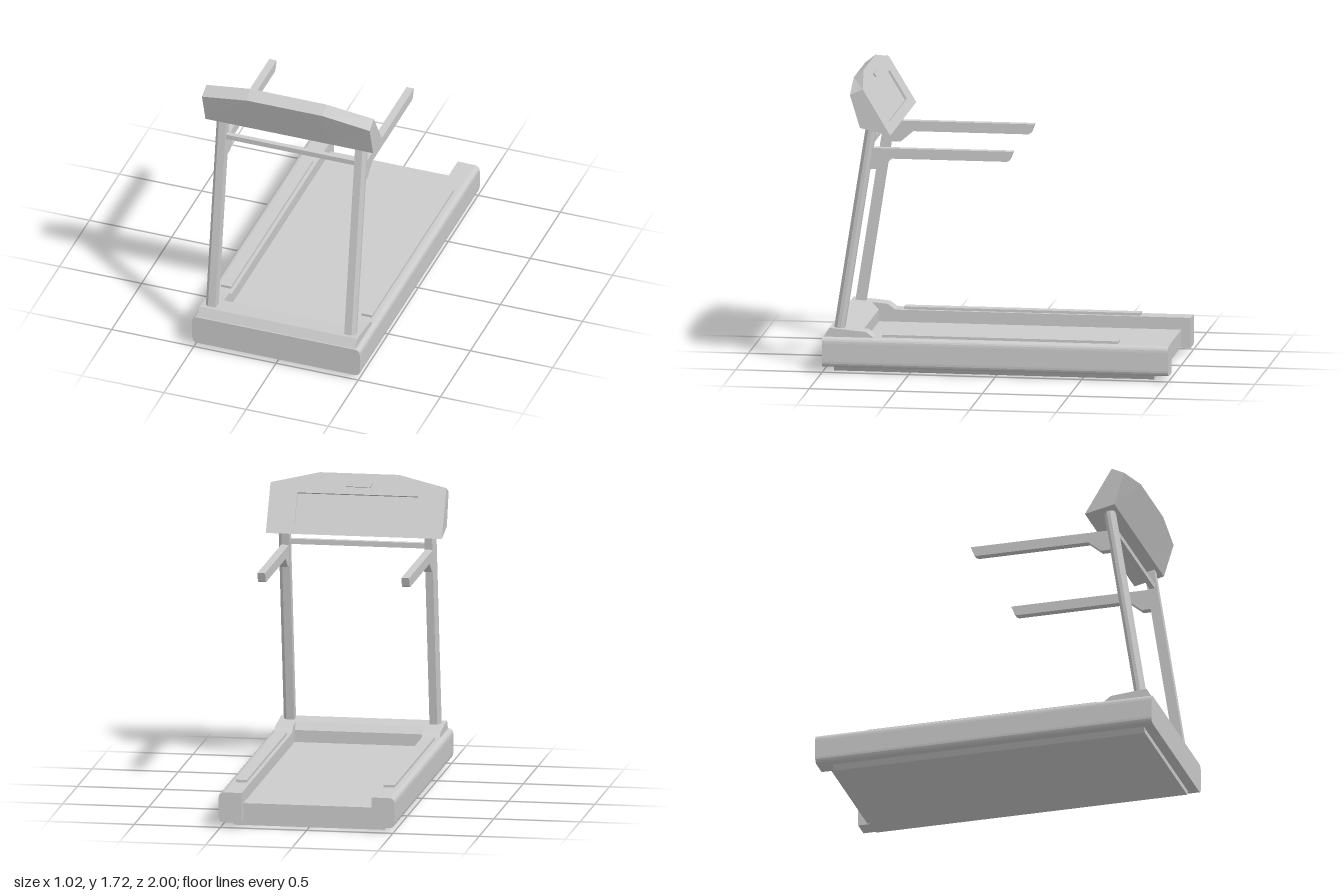
import * as THREE from 'three';

const grey = new THREE.MeshStandardMaterial({ color: 0xcccccc, flatShading: true, side: THREE.DoubleSide });

function add(parent, name, geometry) {
  const mesh = new THREE.Mesh(geometry, grey);
  mesh.name = name;
  parent.add(mesh);
  return mesh;
}

const polygon = (pts) => new THREE.Shape(pts.map(([a, b]) => new THREE.Vector2(a, b)));
const extrude = (shape, depth) =>
  new THREE.ExtrudeGeometry(shape, { depth, bevelEnabled: false, curveSegments: 5 });

// Box given by its limits
function block(x0, x1, y0, y1, z0, z1) {
  return new THREE.BoxGeometry(x1 - x0, y1 - y0, z1 - z0)
    .translate((x0 + x1) / 2, (y0 + y1) / 2, (z0 + z1) / 2);
}

// Side profile of (z, y) points, extruded from x0 to x1
function sideProfile(pts, x0, x1) {
  return extrude(polygon(pts), x1 - x0).rotateY(-Math.PI / 2).translate(x1, 0, 0);
}

// Rectangle outline, used for openings
const rect = (x0, x1, y0, y1) => [[x0, y0], [x1, y0], [x1, y1], [x0, y1]];

// Console shell lofted across x; its rear stays open for the panel
function consoleShell() {
  const end = [[0.605, 1.39], [0.78, 1.43], [0.838, 1.62], [0.764, 1.655]];
  const mid = [[0.605, 1.39], [0.78, 1.43], [0.857, 1.67], [0.80, 1.715]];
  const sections = [[-0.51, end], [-0.23, mid], [0.23, mid], [0.51, end]]
    .map(([x, pts]) => pts.map(([z, y]) => [x, y, z]));
  const pos = [];
  const quad = (a, b, c, d) => pos.push(...a, ...b, ...c, ...a, ...c, ...d);
  for (let i = 0; i < 3; i++) {
    const a = sections[i], b = sections[i + 1];
    for (let k = 0; k < 3; k++) quad(a[k], b[k], b[k + 1], a[k + 1]);
  }
  quad(...sections[0]);
  quad(...[...sections[3]].reverse());
  const g = new THREE.BufferGeometry();
  g.setAttribute('position', new THREE.Float32BufferAttribute(pos, 3));
  g.computeVertexNormals();
  return g;
}

function createBase(model) {
  const base = new THREE.Group();
  base.name = 'base';
  model.add(base);
  const W = 0.51, R = 0.035, B = 0.03, T = 0.205, IN = 0.376;

  // Front cover with rounded corners
  const cover = new THREE.Shape();
  cover.moveTo(-W + R, B);
  cover.lineTo(W - R, B);
  cover.quadraticCurveTo(W, B, W, B + R);
  cover.lineTo(W, T - R);
  cover.quadraticCurveTo(W, T, W - R, T);
  cover.lineTo(-W + R, T);
  cover.quadraticCurveTo(-W, T, -W, T - R);
  cover.lineTo(-W, B + R);
  cover.quadraticCurveTo(-W, B, -W + R, B);
  add(base, 'frontCover', extrude(cover, 0.2).translate(0, 0, 0.8));

  // Side rails, rounded on the outside only
  for (const s of [1, -1]) {
    const rail = new THREE.Shape();
    rail.moveTo(s * IN, B);
    rail.lineTo(s * (W - R), B);
    rail.quadraticCurveTo(s * W, B, s * W, B + R);
    rail.lineTo(s * W, T - R);
    rail.quadraticCurveTo(s * W, T, s * (W - R), T);
    rail.lineTo(s * IN, T);
    const side = s > 0 ? 'left' : 'right';
    add(base, side + 'Rail', extrude(rail, 1.8).translate(0, 0, -1));
    const [x0, x1] = [s * 0.397, s * 0.46].sort((a, b) => a - b);
    add(base, side + 'FootStrip', block(x0, x1, 0.2, 0.22, -0.705, 0.66));
    // Hood arm around the foot of the post
    const [h0, h1] = [s * IN, s * 0.48].sort((a, b) => a - b);
    add(base, side + 'HoodArm',
      sideProfile([[0.995, 0.2], [0.962, 0.256], [0.75, 0.237], [0.70, 0.2]], h0, h1));
  }
  add(base, 'hood',
    sideProfile([[0.995, 0.2], [0.962, 0.256], [0.84, 0.245], [0.80, 0.2]], -IN, IN));

  // Running deck and bottom plate
  add(base, 'runningDeck', block(-IN, IN, 0.035, 0.135, -0.945, 0.82));
  add(base, 'bottomPlate',
    extrude(polygon([[-0.435, 0], [0.435, 0], [0.46, 0.035], [-0.46, 0.035]]), 1.85).translate(0, 0, -0.91));
}

function createFrame(model) {
  const frame = new THREE.Group();
  frame.name = 'frame';
  model.add(frame);
  for (const s of [1, -1]) {
    const side = s > 0 ? 'left' : 'right';
    // Leaning post with chamfered outer corners
    const section = [[0.392, -0.03], [0.437, -0.03], [0.456, -0.01], [0.456, 0.01], [0.437, 0.03], [0.392, 0.03]];
    const post = extrude(polygon(section.map(([x, z]) => [s * x, z])), 1.23)
      .rotateX(-Math.PI / 2).translate(0, 0.22, 0);
    const p = post.attributes.position;
    for (let i = 0; i < p.count; i++) p.setZ(i, p.getZ(i) + 0.91 - 0.156 * (p.getY(i) - 0.25));
    post.computeVertexNormals();
    add(frame, side + 'Post', post);

    // Handrail with slanted tip and gusset
    const [x0, x1] = [s * 0.395, s * 0.44].sort((a, b) => a - b);
    add(frame, side + 'Handrail', sideProfile([
      [0.745, 1.18], [0.68, 1.18], [0.605, 1.243], [-0.06, 1.243], [-0.075, 1.252],
      [-0.095, 1.302], [0.73, 1.302]], x0, x1));
  }
  add(frame, 'crossbar', block(-0.4, 0.4, 1.305, 1.335, 0.73, 0.76));
}

function createConsole(model) {
  const unit = new THREE.Group();
  unit.name = 'console';
  model.add(unit);
  add(unit, 'consoleShell', consoleShell());

  // Rear panel, laid out flat and then tilted to face the user
  const panel = new THREE.Group();
  panel.name = 'consolePanel';
  const up = new THREE.Vector3(0, 0.325, 0.195).normalize();
  const left = new THREE.Vector3(-1, 0, 0);
  const out = left.clone().cross(up);
  panel.quaternion.setFromRotationMatrix(new THREE.Matrix4().makeBasis(left, up, out));
  panel.position.set(0, 1.39, 0.605);
  unit.add(panel);

  const opening = rect(-0.35, 0.35, 0.058, 0.252);
  const face = polygon([[-0.51, 0], [0.51, 0], [0.51, 0.309], [0.23, 0.379], [-0.23, 0.379], [-0.51, 0.309]]);
  face.holes.push(polygon(opening));
  add(panel, 'panelFace', new THREE.ShapeGeometry(face));

  // Recessed screen with its surround
  const depth = 0.015;
  const surround = polygon(rect(-0.355, 0.355, 0.053, 0.257));
  surround.holes.push(polygon(opening));
  add(panel, 'screenSurround', extrude(surround, depth - 0.001).translate(0, 0, -depth));
  add(panel, 'screen', new THREE.ShapeGeometry(polygon(opening)).translate(0, 0, -depth));

  // Small ledge above the screen
  add(panel, 'ledge',
    extrude(polygon([[-0.07, 0.295], [0.07, 0.295], [0.08, 0.318], [-0.08, 0.318]]), 0.008));
}

export function createModel() {
  const model = new THREE.Group();
  model.name = 'treadmill';
  createBase(model);
  createFrame(model);
  createConsole(model);
  return model;
}
